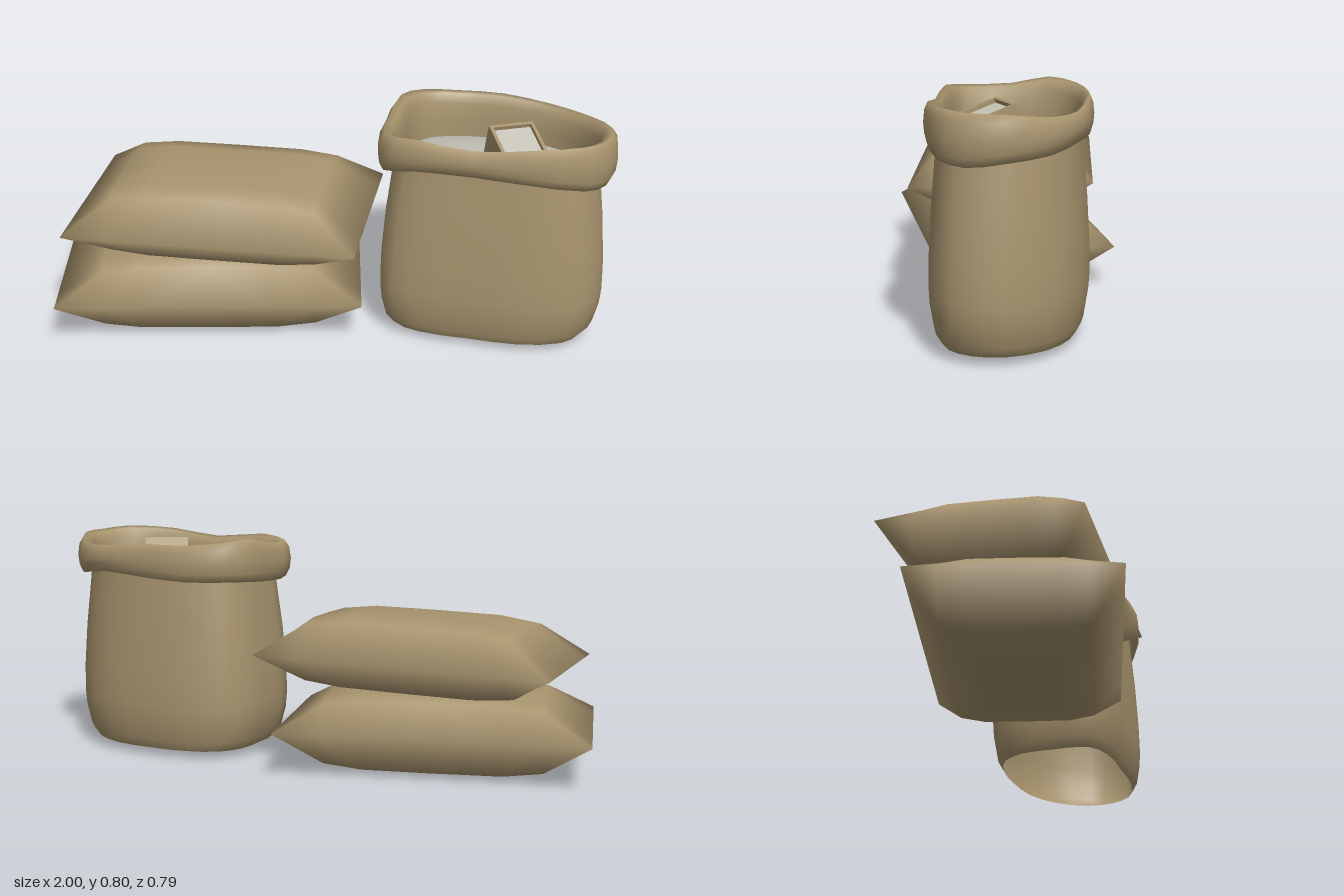
import * as THREE from 'three';
import { mergeGeometries, mergeVertices } from 'three/addons/utils/BufferGeometryUtils.js';

const burlap = new THREE.MeshStandardMaterial({ color: 0xa8946e, side: THREE.DoubleSide });
burlap.name = 'burlap';
const flour = new THREE.MeshStandardMaterial({ color: 0xc6c3b8 });
flour.name = 'flour';

// Smooth closed band over rings of points
function skin(rings) {
  const n = rings[0].length, index = [];
  for (let i = 0; i < rings.length - 1; i++) {
    for (let j = 0; j < n; j++) {
      const k = (j + 1) % n;
      const a = i * n + j, b = i * n + k;
      index.push(a, a + n, b, b, a + n, b + n);
    }
  }
  const geo = new THREE.BufferGeometry().setFromPoints(rings.flat());
  geo.setIndex(index);
  geo.computeVertexNormals();
  return geo;
}

function add(parent, name, geo, mat) {
  const mesh = new THREE.Mesh(geo, mat);
  mesh.name = name;
  parent.add(mesh);
  return mesh;
}

// Closed sack: two bulging faces welded along a soft seam, pointed at the corners
const stations = [-1, -0.7, -0.45, 0, 0.45, 0.7, 1];
const bulge = [0, 0.87, 0.99, 1, 0.99, 0.87, 0];
function closedSack(name, corners, up, down) {
  const [bl, br, fr, fl] = corners.map(c => new THREE.Vector3(...c));
  const n = stations.length, mid = (n - 1) / 2;
  const face = h => {
    const points = [], index = [];
    stations.forEach((v, i) => stations.forEach((u, j) => {
      const s = (u + 1) / 2, t = (v + 1) / 2;
      const p = bl.clone().lerp(br, s).lerp(fl.clone().lerp(fr, s), t);
      p.y += h * bulge[i] * bulge[j];
      points.push(p);
      if (i === n - 1 || j === n - 1) return;
      // Diagonals run from the corners to the middle
      const a = i * n + j, b = a + 1, c = a + n, d = c + 1;
      const quad = (i < mid) === (j < mid) ? [a, c, d, a, d, b] : [a, c, b, b, c, d];
      index.push(...(h > 0 ? quad : quad.reverse()));
    }));
    return new THREE.BufferGeometry().setFromPoints(points).setIndex(index);
  };
  const geo = mergeVertices(mergeGeometries([face(up), face(-down)]));
  geo.computeVertexNormals();
  const mesh = new THREE.Mesh(geo, burlap);
  mesh.name = name;
  return mesh;
}

// Outline of the open sack: x, z, rim top, rim bottom
const outline = [
  [0.18, 0.19, 0.775, 0.64], [0.195, 0.02, 0.78, 0.64], [0.23, -0.11, 0.805, 0.65],
  [0.31, -0.195, 0.795, 0.655], [0.45, -0.222, 0.785, 0.655], [0.62, -0.2, 0.785, 0.665],
  [0.8, -0.145, 0.77, 0.675], [0.93, -0.04, 0.77, 0.655], [0.998, 0.12, 0.79, 0.642],
  [0.97, 0.24, 0.793, 0.628], [0.89, 0.32, 0.8, 0.64], [0.7, 0.345, 0.792, 0.665],
  [0.5, 0.312, 0.77, 0.675], [0.29, 0.268, 0.788, 0.672]
];
const CX = 0.59, CZ = 0.065, COUNT = 28;
const sample = pick => {
  const curve = new THREE.CatmullRomCurve3(outline.map(pick), true);
  return Array.from({ length: COUNT }, (_, i) => curve.getPoint(i / COUNT));
};
const tops = sample(([x, z, t]) => new THREE.Vector3(x, t, z));
const bottoms = sample(([x, z, , b]) => new THREE.Vector3(x, b, z));

// Ring of the outline scaled about its centre; height(top, bottom) gives y
const ring = (scale, height) => tops.map((p, i) => new THREE.Vector3(
  CX + (p.x - CX) * scale, height(p.y, bottoms[i].y), CZ + (p.z - CZ) * scale));
const flat = list => list.map(([s, y]) => ring(s, () => y));

function openSack() {
  const group = new THREE.Group();
  group.name = 'openSack';
  // Cloth tube, open underneath
  add(group, 'body', skin(flat([
    [0.835, 0.03], [0.905, 0.065], [0.95, 0.14], [0.962, 0.2], [0.955, 0.3],
    [0.925, 0.45], [0.885, 0.58], [0.85, 0.7]])), burlap);

  // Rolled collar: curls out, up, over and down the inside
  add(group, 'rolledRim', skin([
    ring(0.9, (t, b) => b + 0.035),
    ring(0.92, (t, b) => b + 0.005),
    ring(0.955, (t, b) => b),
    ring(0.99, (t, b) => b + 0.03),
    ring(1, (t, b) => (t + b) / 2),
    ring(0.985, t => t - 0.025),
    ring(0.945, t => t),
    ring(0.89, t => t - 0.008),
    ring(0.845, t => t - 0.04),
    ring(0.825, () => 0.68),
    ring(0.825, () => 0.58)
  ]), burlap);

  add(group, 'flourFill', skin(flat([
    [0.83, 0.62], [0.6, 0.647], [0.3, 0.667], [0, 0.673]])), flour);
  return group;
}

// Small open box half sunk in the flour
function scoop() {
  const group = new THREE.Group();
  group.name = 'scoop';
  const S = 0.16, H = 0.12, T = 0.012;
  for (const side of [-1, 1]) {
    const wallX = add(group, 'scoopSide', new THREE.BoxGeometry(T, H, S), burlap);
    wallX.position.x = side * (S - T) / 2;
    const wallZ = add(group, 'scoopEnd', new THREE.BoxGeometry(S - 2 * T, H, T), burlap);
    wallZ.position.z = side * (S - T) / 2;
  }
  const fill = add(group, 'scoopFill', new THREE.BoxGeometry(S - 2 * T, 0.08, S - 2 * T), flour);
  fill.position.y = 0.006;
  group.rotation.set(0.32, 0.32, 0, 'YXZ');
  group.position.set(0.65, 0.7, 0.135);
  return group;
}

export function createModel() {
  const model = new THREE.Group();
  model.name = 'sacks';
  model.add(
    closedSack('lowerSack', [
      [-1, 0.16, -0.28], [0.09, 0.16, -0.36], [0.135, 0.16, 0.3], [-0.94, 0.16, 0.39]], 0.125, 0.158),
    closedSack('upperSack', [
      [-0.865, 0.398, -0.4], [0.185, 0.415, -0.265], [0.11, 0.396, 0.385], [-0.93, 0.38, 0.27]], 0.147, 0.118),
    openSack(),
    scoop());
  return model;
}
